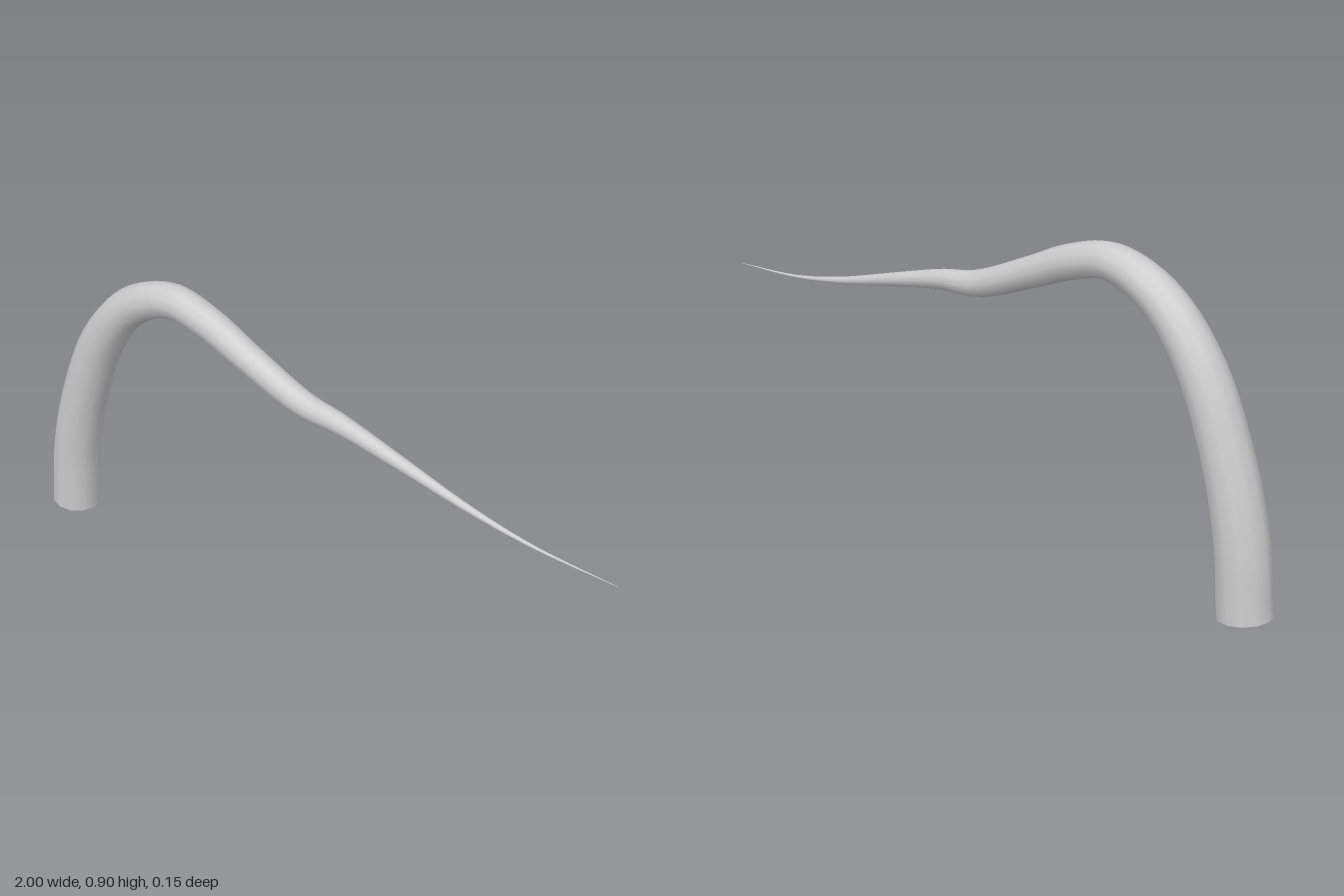
import * as THREE from 'three';

// Centre line of the stem: x, y and the radius at that point
const STATIONS = [
  [-0.925, 0.005, 0.076], [-0.905, 0.2, 0.074], [-0.85, 0.415, 0.07],
  [-0.753, 0.638, 0.065], [-0.625, 0.785, 0.058], [-0.47, 0.848, 0.051],
  [-0.33, 0.82, 0.048], [-0.2, 0.766, 0.044], [0, 0.69, 0.038],
  [0.13, 0.674, 0.03], [0.33, 0.631, 0.02], [0.55, 0.581, 0.011],
  [0.75, 0.551, 0.005], [1, 0.541, 0.0006],
];
const SIDES = 12;
const RINGS = 80;

// Sweeps a tapering ring along the planar centre line
function taperedTube() {
  // the z of this curve carries the radius
  const curve = new THREE.CatmullRomCurve3(STATIONS.map(s => new THREE.Vector3(...s)));
  const positions = [], index = [];
  for (let i = 0; i <= RINGS; i++) {
    const p = curve.getPoint(i / RINGS);
    const t = curve.getTangent(i / RINGS).setZ(0).normalize();
    for (let j = 0; j < SIDES; j++) {
      const a = (j / SIDES) * Math.PI * 2;
      const c = Math.cos(a) * p.z;
      positions.push(p.x - t.y * c, p.y + t.x * c, Math.sin(a) * p.z);
      if (i === RINGS) continue;
      const k = (j + 1) % SIDES;
      const a0 = i * SIDES + j, a1 = i * SIDES + k;
      index.push(a0, a1, a0 + SIDES, a1, a1 + SIDES, a0 + SIDES);
    }
  }
  const geometry = new THREE.BufferGeometry();
  geometry.setAttribute('position', new THREE.Float32BufferAttribute(positions, 3));
  geometry.setIndex(index);
  geometry.computeVertexNormals();
  return geometry;
}

export function createModel() {
  const group = new THREE.Group();
  group.name = 'curvedTendril';
  // Open at the base, drawn out to a fine point
  const material = new THREE.MeshStandardMaterial({ color: 0xcccccc, side: THREE.DoubleSide });
  const stem = new THREE.Mesh(taperedTube(), material);
  stem.name = 'stem';
  group.add(stem);
  return group;
}
